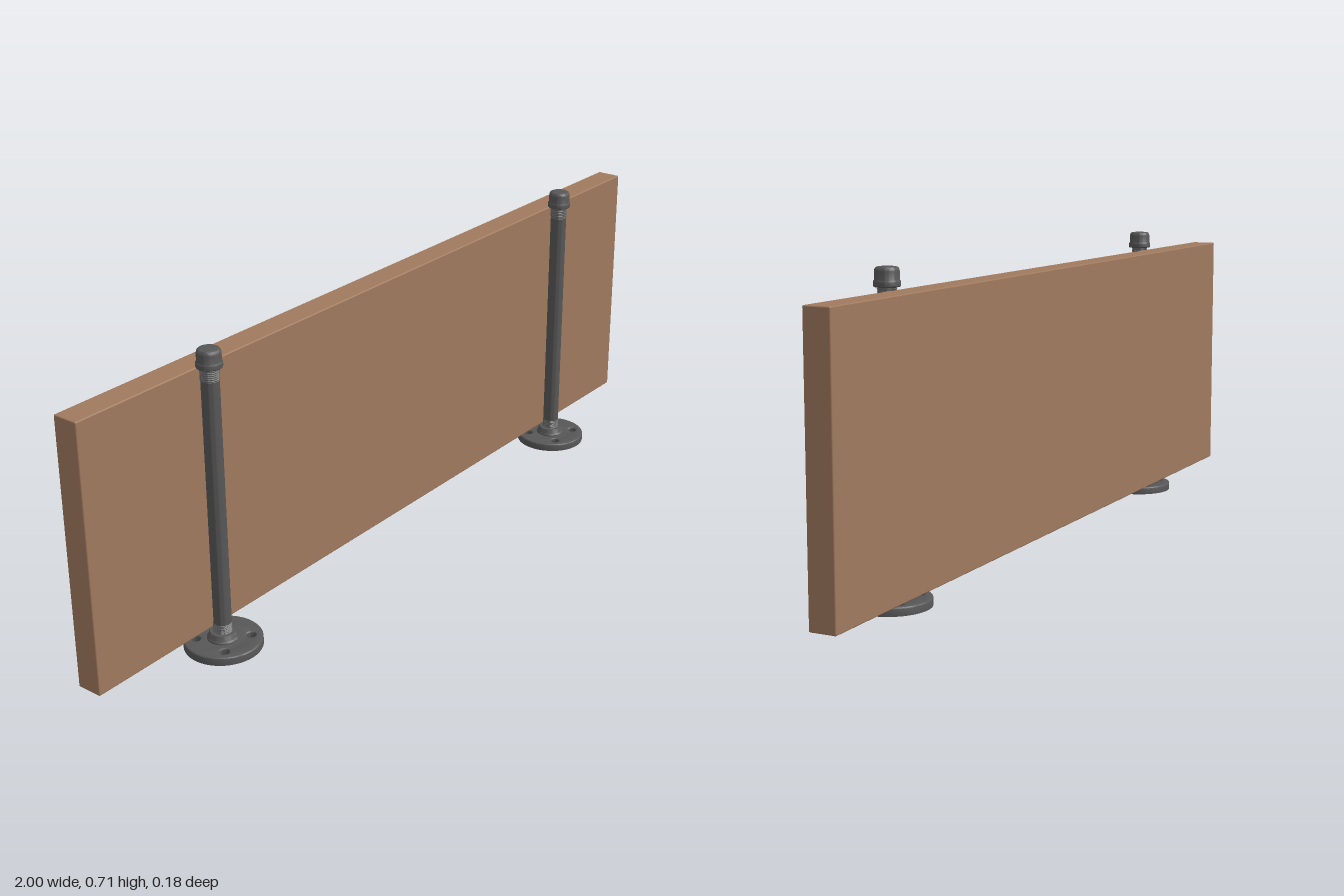
import * as THREE from 'three';
import { toCreasedNormals } from 'three/addons/utils/BufferGeometryUtils.js';
import { RoundedBoxGeometry } from 'three/addons/geometries/RoundedBoxGeometry.js';

const BORE = 0.017;

// Turned part from [radius, height] pairs, listed bottom to top on the outside
function turned(points, segments = 40) {
  const profile = points.map(([r, y]) => new THREE.Vector2(r, y));
  return toCreasedNormals(new THREE.LatheGeometry(profile, segments), 0.6);
}

// Zigzag profile of a threaded pipe end
function thread(y0, y1, turns) {
  const points = [];
  const pitch = (y1 - y0) / turns;
  for (let i = 0; i < turns; i++) {
    points.push([0.019, y0 + i * pitch], [0.0212, y0 + (i + 0.5) * pitch]);
  }
  points.push([0.019, y1]);
  return points;
}

// Round floor plate with four screw holes and a central bore
function flangeGeometry() {
  const radius = 0.088, bevel = 0.003, height = 0.019;
  const shape = new THREE.Shape().absarc(0, 0, radius, 0, Math.PI * 2, false);
  const addHole = (x, y, r) =>
    shape.holes.push(new THREE.Path().absarc(x, y, r, 0, Math.PI * 2, true));
  addHole(0, 0, BORE);
  for (const sx of [-1, 1]) for (const sy of [-1, 1]) addHole(sx * 0.043, sy * 0.043, 0.011);
  const geometry = new THREE.ExtrudeGeometry(shape, {
    depth: height - 2 * bevel, bevelThickness: bevel, bevelSize: bevel,
    bevelOffset: -bevel, bevelSegments: 3, curveSegments: 24,
  });
  geometry.rotateX(-Math.PI / 2).translate(0, bevel, 0);
  // Keep the lower rim square so the plate sits flat
  const p = geometry.attributes.position;
  for (let i = 0; i < p.count; i++) {
    const r = Math.hypot(p.getX(i), p.getZ(i));
    if (p.getY(i) < height / 2 && r > 0.08) {
      p.setX(i, p.getX(i) * radius / r);
      p.setZ(i, p.getZ(i) * radius / r);
    }
  }
  return toCreasedNormals(geometry, 0.6);
}

export function createModel() {
  const wood = new THREE.MeshStandardMaterial({ color: 0xa07a5e });
  wood.name = 'brown wood';
  const iron = new THREE.MeshStandardMaterial({ color: 0x575757 });
  iron.name = 'dark iron';

  const model = new THREE.Group();
  model.name = 'boardOnPipePosts';
  const add = (parent, name, geometry, material) => {
    const mesh = new THREE.Mesh(geometry, material);
    mesh.name = name;
    parent.add(mesh);
    return mesh;
  };

  // Upright board behind the posts
  add(model, 'board', new RoundedBoxGeometry(2, 0.623, 0.062, 2, 0.003), wood)
    .position.set(0, 0.3485, -0.056);

  // Post parts, shared by both sides
  const parts = {
    flange: flangeGeometry(),
    collar: turned([
      [BORE, 0.016], [0.037, 0.016], [0.036, 0.022], [0.033, 0.025], [0.031, 0.033],
      [0.029, 0.036], [BORE, 0.036], [BORE, 0.016],
    ]),
    lowerThread: turned(thread(0.034, 0.058, 6)),
    pipe: turned([
      [BORE, 0.034], [0.019, 0.034], [0.019, 0.057], [0.02, 0.058], [0.02, 0.636],
      [0.019, 0.637], [0.019, 0.667], [BORE, 0.667], [BORE, 0.034],
    ]),
    upperThread: turned(thread(0.637, 0.667, 7)),
    cap: turned([
      [0, 0.665], [0.027, 0.665], [0.0285, 0.667], [0.0285, 0.676], [0.0265, 0.679],
      [0.0262, 0.697], [0.025, 0.702], [0.0225, 0.705], [0.019, 0.706], [0, 0.706],
    ]),
  };
  for (const [name, x] of [['rightPost', -0.657], ['leftPost', 0.657]]) {
    const post = new THREE.Group();
    post.name = name;
    post.position.x = x;
    for (const [part, geometry] of Object.entries(parts)) add(post, part, geometry, iron);
    model.add(post);
  }
  return model;
}
